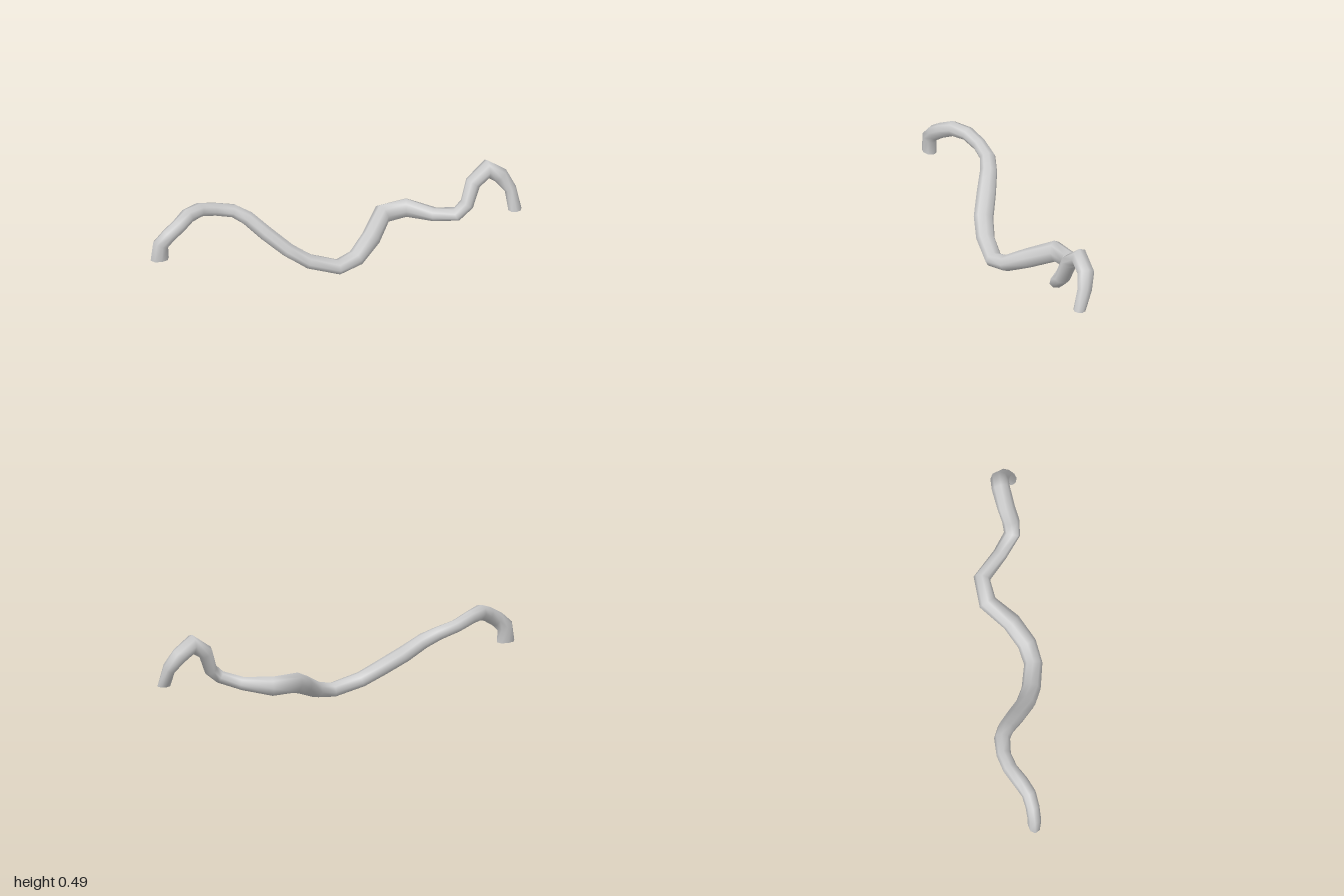
import * as THREE from 'three';

const SIDES = 8;

// Stations along the tube: x, y, z, radius across the front plane, radius in depth
const stations = [
  [-0.95, 0.205, -0.005, 0.05, 0.034],
  [-0.945, 0.29, -0.005, 0.045, 0.035],
  [-0.90, 0.335, -0.008, 0.041, 0.036],
  [-0.84, 0.375, -0.02, 0.04, 0.038],
  [-0.78, 0.405, -0.055, 0.041, 0.04],
  [-0.70, 0.402, -0.10, 0.036, 0.039],
  [-0.61, 0.376, -0.122, 0.034, 0.038],
  [-0.51, 0.35, -0.118, 0.035, 0.042],
  [-0.44, 0.31, -0.087, 0.038, 0.046],
  [-0.36, 0.235, -0.032, 0.039, 0.052],
  [-0.26, 0.152, 0.037, 0.038, 0.053],
  [-0.16, 0.088, 0.078, 0.038, 0.05],
  [-0.01, 0.043, 0.108, 0.038, 0.048],
  [0.095, 0.067, 0.088, 0.043, 0.05],
  [0.20, 0.13, 0.02, 0.051, 0.05],
  [0.30, 0.192, -0.092, 0.056, 0.048],
  [0.435, 0.197, -0.105, 0.053, 0.044],
  [0.555, 0.195, 0.005, 0.036, 0.038],
  [0.65, 0.222, 0.08, 0.033, 0.043],
  [0.705, 0.272, 0.08, 0.035, 0.045],
  [0.745, 0.38, 0.06, 0.04, 0.046],
  [0.828, 0.44, 0.044, 0.052, 0.048],
  [0.90, 0.388, 0.045, 0.043, 0.047],
  [0.945, 0.315, 0.075, 0.032, 0.042],
  [0.957, 0.21, 0.112, 0.036, 0.031],
];

// Loft elliptical rings along the stations
function loftTube(rows) {
  const points = rows.map(([x, y, z]) => new THREE.Vector3(x, y, z));
  const last = rows.length - 1;
  const positions = [], index = [];
  rows.forEach(([, , , rFront, rDepth], i) => {
    // Both ends are cut level
    const t = new THREE.Vector3();
    if (i === 0) t.set(0, 1, 0);
    else if (i === last) t.set(0, -1, 0);
    else {
      const a = points[i].clone().sub(points[i - 1]).normalize();
      const b = points[i + 1].clone().sub(points[i]).normalize();
      t.addVectors(a, b).normalize();
    }
    const n = new THREE.Vector3(-t.y, t.x, 0).normalize();
    const b = new THREE.Vector3().crossVectors(t, n);
    for (let k = 0; k < SIDES; k++) {
      const angle = (k / SIDES) * Math.PI * 2;
      const p = points[i].clone()
        .addScaledVector(n, Math.cos(angle) * rFront)
        .addScaledVector(b, Math.sin(angle) * rDepth);
      positions.push(p.x, p.y, p.z);
      if (i < last) {
        const k2 = (k + 1) % SIDES;
        const p0 = i * SIDES + k, p1 = i * SIDES + k2;
        index.push(p0, p1, p1 + SIDES, p0, p1 + SIDES, p0 + SIDES);
      }
    }
  });
  const geometry = new THREE.BufferGeometry();
  geometry.setAttribute('position', new THREE.Float32BufferAttribute(positions, 3));
  geometry.setIndex(index);
  geometry.computeVertexNormals();
  return geometry;
}

export function createModel() {
  const group = new THREE.Group();
  group.name = 'windingTube';
  // Open-ended winding tube
  const tube = new THREE.Mesh(
    loftTube(stations),
    new THREE.MeshStandardMaterial({ color: 0xcccccc, side: THREE.DoubleSide })
  );
  tube.name = 'tube';
  group.add(tube);
  return group;
}
